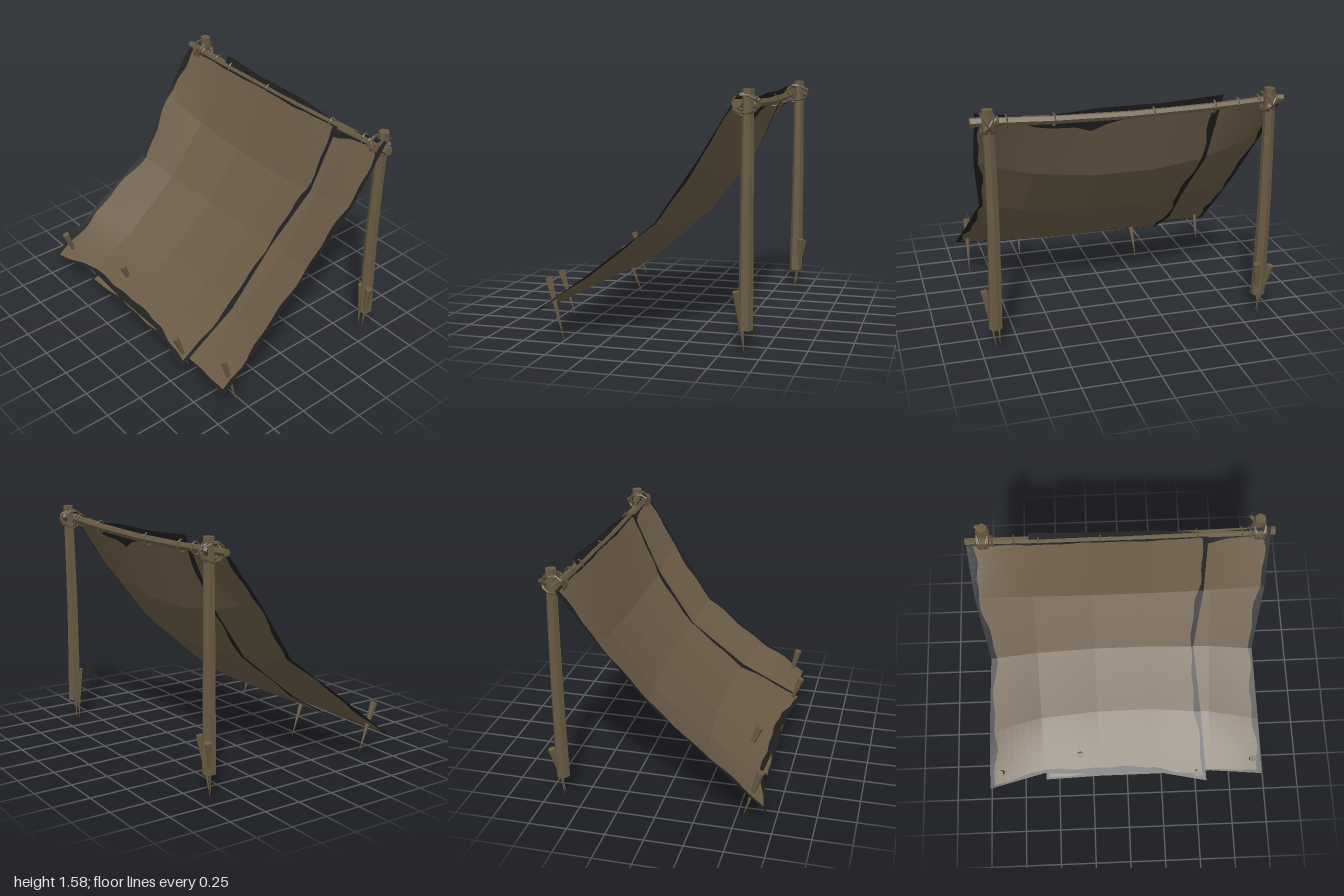
import * as THREE from 'three';

const mat = (name, color, side = THREE.FrontSide) =>
  Object.assign(new THREE.MeshStandardMaterial({ color, side }), { name });
const lerp = THREE.MathUtils.lerp;
const V = (x, y, z) => new THREE.Vector3(x, y, z);
const bump = (v, c, w, p = 2) => Math.exp(-(((v - c) / w) ** p));

// Give a geometry hard facets
function faceted(geo) {
  const g = geo.index ? geo.toNonIndexed() : geo;
  g.computeVertexNormals();
  return g;
}

// Tapered pole from a to b, with an optional bow in the middle
function pole(name, a, b, ra, rb, sides, material, bow = V(0, 0, 0)) {
  const len = a.distanceTo(b);
  const geo = new THREE.CylinderGeometry(rb, ra, len, sides, 4);
  geo.rotateY(Math.PI / 6);
  geo.applyQuaternion(new THREE.Quaternion().setFromUnitVectors(V(0, 1, 0), b.clone().sub(a).normalize()));
  geo.translate((a.x + b.x) / 2, (a.y + b.y) / 2, (a.z + b.z) / 2);
  const p = geo.attributes.position, dir = b.clone().sub(a), q = V(0, 0, 0);
  for (let i = 0; i < p.count; i++) {
    q.fromBufferAttribute(p, i);
    const t = THREE.MathUtils.clamp(q.clone().sub(a).dot(dir) / (len * len), 0, 1);
    q.addScaledVector(bow, Math.sin(Math.PI * t));
    p.setXYZ(i, q.x, q.y, q.z);
  }
  const m = new THREE.Mesh(faceted(geo), material);
  m.name = name;
  return m;
}

// Cloth sag between the upper and lower edges: [x, y] in the middle and at the sides
const MID = [[0.41, 1.03], [0.15, 0.70], [-0.21, 0.38]];
const SIDE = [[0.36, 1.18], [0.06, 0.79], [-0.35, 0.45]];
const PINCH = [0, 0.015, 0.08, 0.03, 0];
function sideWeight(z) {
  const k = [[0, 0], [0.2, 0.05], [0.6, 0.35], [0.97, 1], [1.1, 1.1]], a = Math.abs(z);
  const i = a < 0.2 ? 0 : a < 0.6 ? 1 : a < 0.97 ? 2 : 3;
  return lerp(k[i][1], k[i + 1][1], (a - k[i][0]) / (k[i + 1][0] - k[i][0]));
}

// One sheet with a ragged dark hem; columns lists the z of its folds,
// top and low the [x, y] of its upper and lower edges
function sheet(name, { columns, top, low, lift, topHem, lowHem, seed }, materials) {
  const nodes = PINCH.map((pinch, r) => columns.map((zc, c) => {
    const z = c === 0 ? zc + pinch : c === 4 ? zc - pinch : zc;
    if (r === 0) return V(...top[c], z);
    if (r === 4) return V(...low[c], z);
    const w = sideWeight(z), m = MID[r - 1], s = SIDE[r - 1];
    return V(lerp(m[0], s[0], w) - lift * 0.7, lerp(m[1], s[1], w) + lift, z);
  }));
  const point = (u, v) => {
    const r = Math.min(3, Math.floor(u * 4)), c = Math.min(3, Math.floor(v * 4));
    const a = nodes[r][c].clone().lerp(nodes[r][c + 1], v * 4 - c);
    const b = nodes[r + 1][c].clone().lerp(nodes[r + 1][c + 1], v * 4 - c);
    return a.lerp(b, u * 4 - r);
  };
  const N = 32;
  const rag = (t, s) => 0.5 + 0.3 * Math.sin(t * 17 + s * 2.1) + 0.2 * Math.sin(t * 41 + s * 3.7);
  const grid = [];
  for (let i = 0; i <= N; i++) for (let j = 0; j <= N; j++) {
    const u0 = i / N, v0 = j / N;
    let u = u0, v = v0;
    const hemEnd = topHem(v0, rag(v0, seed));
    if (i === 1) u = hemEnd;
    if (i === 2) u = Math.max(u0, hemEnd + 0.002);
    if (i === N - 1) u = 1 - lowHem(v0, rag(v0, seed + 1));
    if (j === 1) v = 0.01 + 0.028 * rag(u0, seed + 2);
    if (j === N - 1) v = 1 - (0.01 + 0.028 * rag(u0, seed + 3));
    grid.push(point(u, v));
  }
  const cloth = [], hem = [];
  for (let i = 0; i < N; i++) for (let j = 0; j < N; j++) {
    const a = i * (N + 1) + j, b = a + 1, c = a + N + 1, d = c + 1;
    const isHem = i === 0 || j === 0 || i === N - 1 || j === N - 1;
    (isHem ? hem : cloth).push(a, b, c, b, d, c);
  }
  const group = new THREE.Group();
  group.name = name;
  [['cloth', cloth], ['raggedHem', hem]].forEach(([part, index], k) => {
    const geo = new THREE.BufferGeometry().setFromPoints(grid);
    geo.setIndex(index);
    const m = new THREE.Mesh(faceted(geo), materials[k]);
    m.name = part;
    group.add(m);
  });
  return group;
}

// Cord ring in the local XY plane
function ring(name, center, rx, ry, thick, rot, material) {
  const geo = new THREE.TorusGeometry(1, thick / Math.max(rx, ry), 5, 10);
  geo.scale(rx, ry, Math.max(rx, ry));
  const m = new THREE.Mesh(faceted(geo), material);
  m.position.copy(center);
  m.rotation.set(...rot);
  m.name = name;
  return m;
}

export function createModel() {
  const model = new THREE.Group();
  model.name = 'leanToShelter';
  const wood = mat('wood', 0x685a42);
  const rope = mat('rope', 0x5c4e39);
  const cloth = mat('cloth', 0x6b5b46, THREE.DoubleSide);
  const dark = mat('darkHem', 0x1f1f1f, THREE.DoubleSide);

  // Two overlapping sheets: one tied below the beam, one poking up past it
  model.add(sheet('upperSheet', {
    columns: [-0.995, -0.6, -0.2, 0.2, 0.57],
    top: [[0.585, 1.495], [0.58, 1.5], [0.58, 1.5], [0.58, 1.5], [0.58, 1.51]],
    low: [[-0.71, 0.172], [-0.62, 0.213], [-0.64, 0.208], [-0.64, 0.208], [-0.71, 0.172]],
    lift: 0.011, seed: 1,
    topHem: (v, n) => 0.004 + 0.006 * n,
    lowHem: (v, n) => 0.006 + 0.012 * n + 0.012 * bump(v, 0.55, 0.28, 4),
  }, [cloth, dark]));
  model.add(sheet('lowerSheet', {
    columns: [-0.59, -0.2, 0.2, 0.6, 0.97],
    top: [[0.62, 1.57], [0.618, 1.546], [0.618, 1.546], [0.605, 1.515], [0.605, 1.57]],
    low: [[-0.655, 0.162], [-0.645, 0.174], [-0.645, 0.174], [-0.64, 0.19], [-0.68, 0.203]],
    lift: 0, seed: 4,
    topHem: (v, n) => 0.03 + 0.006 * n + 0.026 * bump(v, 0.58, 0.16, 4)
      + 0.012 * bump(v, 0.34, 0.12) + 0.024 * bump(v, 0.53, 0.04),
    lowHem: (v, n) => 0.004 + 0.01 * n,
  }, [cloth, dark]));

  // Posts and cross beam
  model.add(pole('leftPost', V(0.648, 0.17, 0.905), V(0.65, 1.6, 0.902), 0.046, 0.036, 6, wood, V(-0.003, 0, -0.012)));
  model.add(pole('rightPost', V(0.648, 0.17, -0.882), V(0.65, 1.6, -0.885), 0.046, 0.036, 6, wood, V(0.003, 0, -0.008)));
  model.add(pole('crossBeam', V(0.603, 1.515, 1), V(0.603, 1.515, -1), 0.03, 0.024, 6, wood, V(0.008, -0.03, 0)));

  // Pointed stakes at the post feet and along the low edge
  const stakes = [
    [0.6, 0.41, 0.96, 0.64, 0.02, 0.9], [0.61, 0.40, 0.885, 0.63, 0.03, 0.875],
    [0.69, 0.41, -0.845, 0.645, 0.02, -0.89], [0.695, 0.39, -0.94, 0.635, 0.04, -0.88],
    [-0.7, 0.365, 0.495, -0.6, 0.08, 0.505], [-0.545, 0.385, -0.33, -0.41, 0.04, -0.35],
    [-0.655, 0.39, -0.9, -0.55, 0.06, -0.89], [-0.62, 0.405, 0.89, -0.52, 0.02, 0.9],
  ];
  for (const [x, y, z, tx, ty, tz] of stakes)
    model.add(pole('stake', V(tx, ty, tz), V(x, y, z), 0.001, 0.025, 6, wood));

  // Lashings where the beam meets each post
  for (const [s, z] of [[1, 0.9], [-1, -0.885]]) {
    const g = new THREE.Group();
    g.name = s > 0 ? 'leftLashing' : 'rightLashing';
    for (const d of [-1, 1]) {
      g.add(ring('diagonalCord', V(0.632, 1.508, z), 0.078, 0.068, 0.008, [d * 0.6, 0, 0], rope));
      g.add(ring('looseCord', V(0.632, 1.505, z + d * 0.01), 0.075, 0.07, 0.008, [d * 0.3, d * 0.25, 0], rope));
    }
    g.add(ring('beamCord', V(0.603, 1.51, z - s * 0.06), 0.034, 0.034, 0.007, [0, 0.1, 0], rope));
    g.add(pole('cordEnd', V(0.68, 1.5, z - 0.02), V(0.705, 1.535, z - 0.05), 0.012, 0.014, 5, rope));
    g.add(pole('cordEnd', V(0.68, 1.48, z), V(0.705, 1.5, z + 0.02), 0.012, 0.014, 5, rope));
    model.add(g);
  }

  // Cord ties holding the sheets on the beam
  for (const z of [0.785, 0.495, -0.13, -0.53, -0.685]) {
    const y = 1.515 - 0.03 * Math.cos((z * Math.PI) / 2);
    model.add(ring('sheetTie', V(0.608, y, z), 0.032, 0.04, 0.006, [0, 0.1, 0], rope));
  }
  return model;
}
